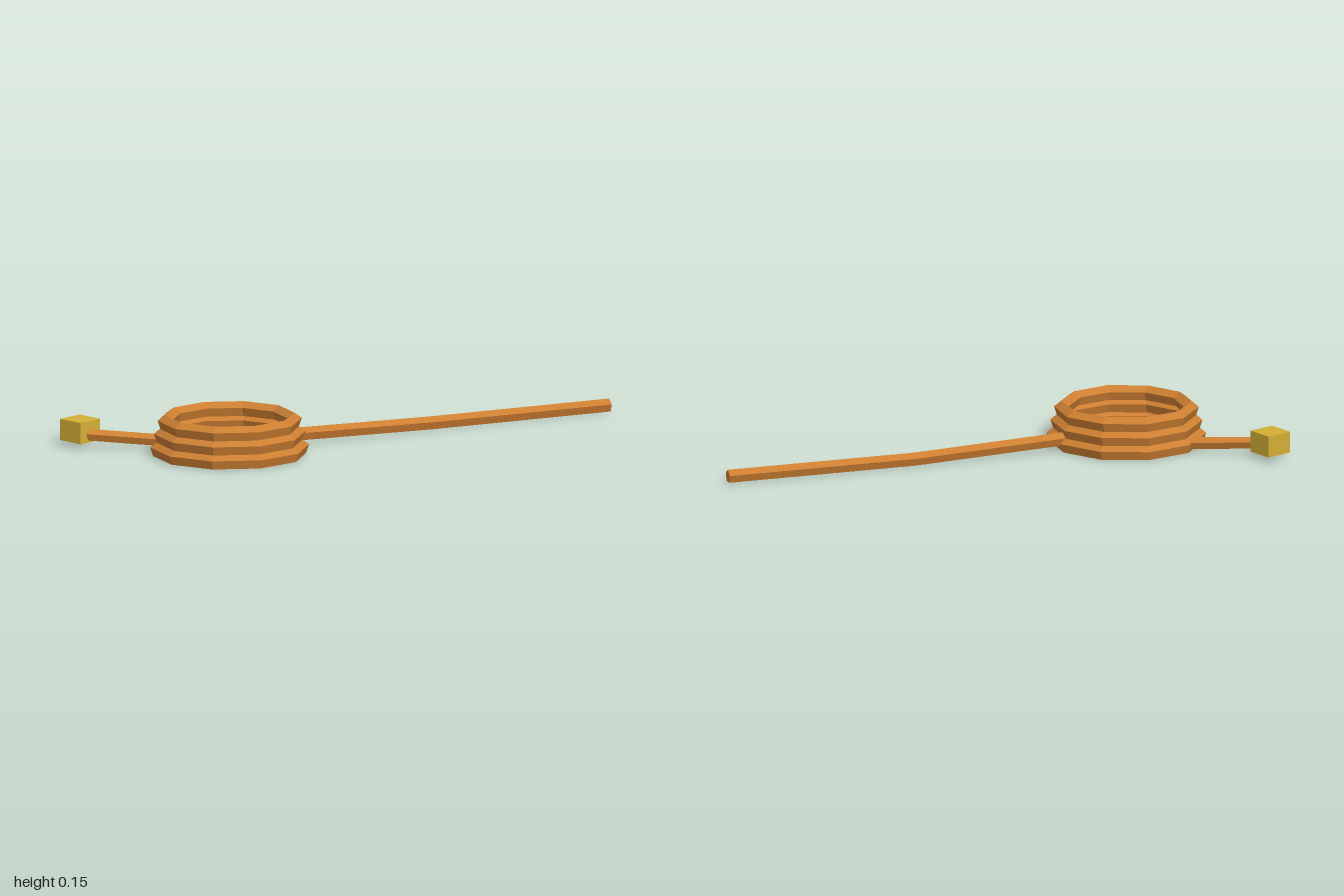
import * as THREE from 'three';

const SIDES = 5;

// Sweeps an upright pentagon (one ridge on top) along a path of points.
function sweep(points, radius, closed) {
  const n = points.length;
  const up = new THREE.Vector3(0, 1, 0);
  const pos = [];
  const index = [];
  points.forEach((p, i) => {
    const prev = closed ? points[(i + n - 1) % n] : points[Math.max(i - 1, 0)];
    const next = closed ? points[(i + 1) % n] : points[Math.min(i + 1, n - 1)];
    const t = next.clone().sub(prev).setY(0).normalize();
    const side = up.clone().cross(t);
    for (let k = 0; k < SIDES; k++) {
      const a = Math.PI / 2 + (k / SIDES) * Math.PI * 2;
      const v = p.clone().addScaledVector(side, Math.cos(a) * radius);
      pos.push(v.x, v.y + Math.sin(a) * radius, v.z);
    }
  });
  for (let i = 0; i < (closed ? n : n - 1); i++) {
    const j = (i + 1) % n;
    for (let k = 0; k < SIDES; k++) {
      const m = (k + 1) % SIDES;
      const a = i * SIDES + k, b = i * SIDES + m;
      const c = j * SIDES + k, d = j * SIDES + m;
      index.push(a, b, c, b, d, c);
    }
  }
  // End caps
  if (!closed) {
    const e = (n - 1) * SIDES;
    for (let k = 1; k < SIDES - 1; k++) {
      index.push(0, k + 1, k, e, e + k, e + k + 1);
    }
  }
  const g = new THREE.BufferGeometry();
  g.setAttribute('position', new THREE.Float32BufferAttribute(pos, 3));
  g.setIndex(index);
  const flat = g.toNonIndexed();
  flat.computeVertexNormals();
  return flat;
}

export function createModel() {
  const group = new THREE.Group();
  const hose = new THREE.MeshStandardMaterial({ name: 'hose orange', color: 0xcd7f32, flatShading: true });
  const brass = new THREE.MeshStandardMaterial({ name: 'brass', color: 0xd4af37, flatShading: true });
  const add = (name, geometry, material) => {
    const mesh = new THREE.Mesh(geometry, material);
    mesh.name = name;
    group.add(mesh);
    return mesh;
  };
  const V = (x, y, z) => new THREE.Vector3(x, y, z);

  // Three stacked ten-sided coils, each a little smaller than the one below
  for (let i = 0; i < 3; i++) {
    const R = 0.256 - i * 0.013;
    const ring = [];
    for (let k = 0; k < 10; k++) {
      const a = (k / 10) * Math.PI * 2;
      ring.push(V(Math.cos(a) * R, 0, -Math.sin(a) * R));
    }
    const coil = add('coil' + (i + 1), sweep(ring, 0.028, true), hose);
    coil.scale.z = 0.92;
    coil.position.set(-0.417, 0.0227 + i * 0.0482, 0.162);
  }

  // Long loose end
  add('longTail', sweep([V(-0.21, 0.041, 0.055), V(0.33, 0.025, -0.163), V(0.987, 0.025, -0.389)], 0.0245, false), hose);

  // Short end leading to the fitting
  add('shortTail', sweep([V(-0.62, 0.027, 0.044), V(-0.91, 0.045, -0.004)], 0.022, false), hose);

  // Square end fitting
  const fitting = add('endFitting', new THREE.BoxGeometry(0.1, 0.077, 0.1), brass);
  fitting.position.set(-0.93, 0.058, -0.035);
  fitting.rotation.y = 0.71;

  return group;
}
